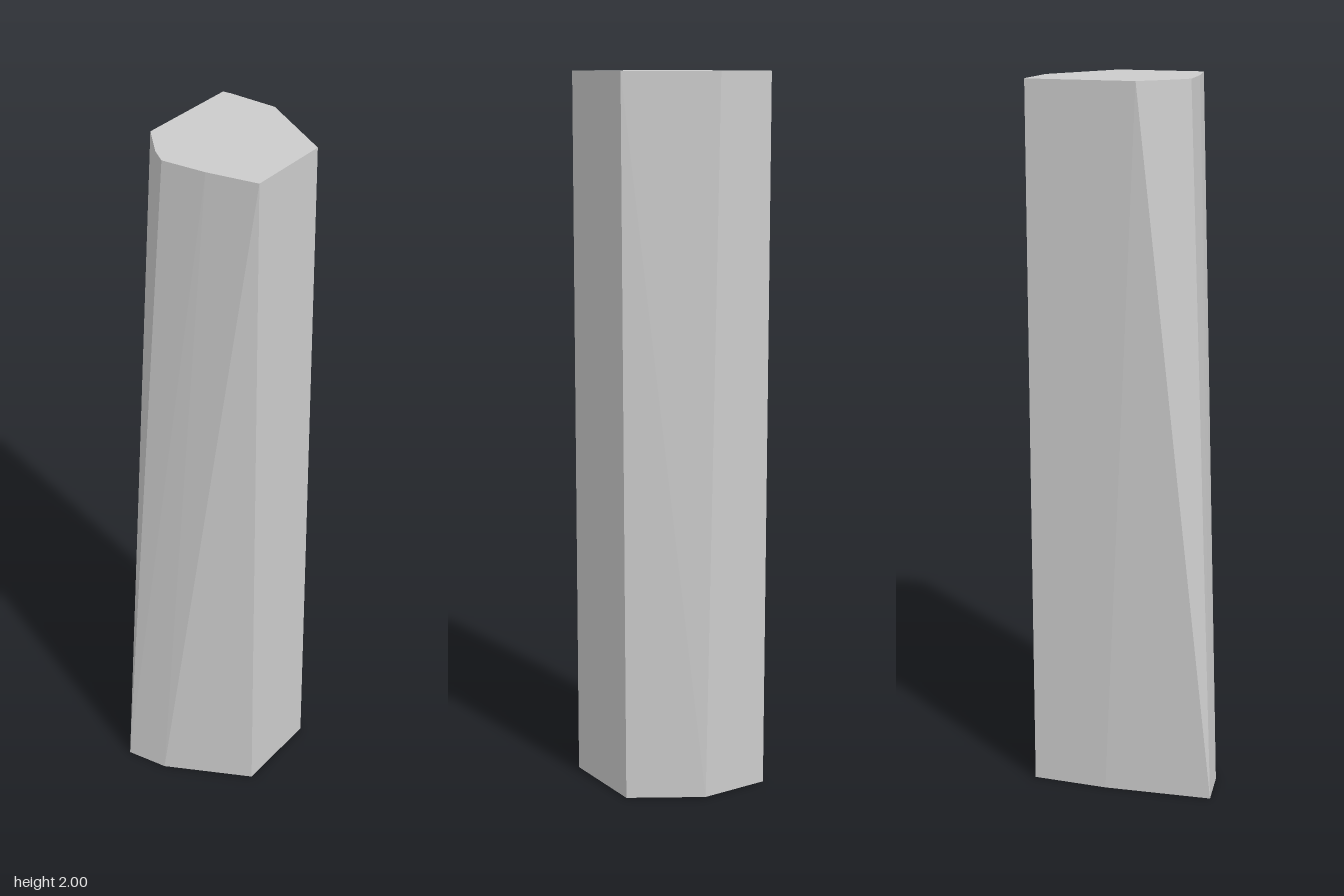
import * as THREE from 'three';
import { ConvexGeometry } from 'three/addons/geometries/ConvexGeometry.js';

// Outlines of the two ends as [x, z] corners
const TOP = [
  [-0.195, -0.257], [-0.17, -0.26], [-0.03, -0.26], [0.195, -0.128], [0.195, 0.118],
  [0.055, 0.147], [-0.07, 0.16], [-0.113, 0.13], [-0.195, 0.048],
];
const BOTTOM = [
  [-0.195, -0.26], [0.005, -0.26], [0.195, -0.143], [0.195, 0.118],
  [-0.045, 0.243], [-0.168, 0.26], [-0.195, -0.045],
];

const ring = (outline, y) => outline.map(([x, z]) => new THREE.Vector3(x, y, z));

export function createModel() {
  const group = new THREE.Group();
  group.name = 'facetedPillar';

  // Faceted column: flat facets wrapped around both end outlines
  const geometry = new ConvexGeometry([...ring(BOTTOM, 0), ...ring(TOP, 2)]);
  const material = new THREE.MeshStandardMaterial({ color: 0xcccccc, flatShading: true });
  const column = new THREE.Mesh(geometry, material);
  column.name = 'column';
  group.add(column);
  return group;
}
